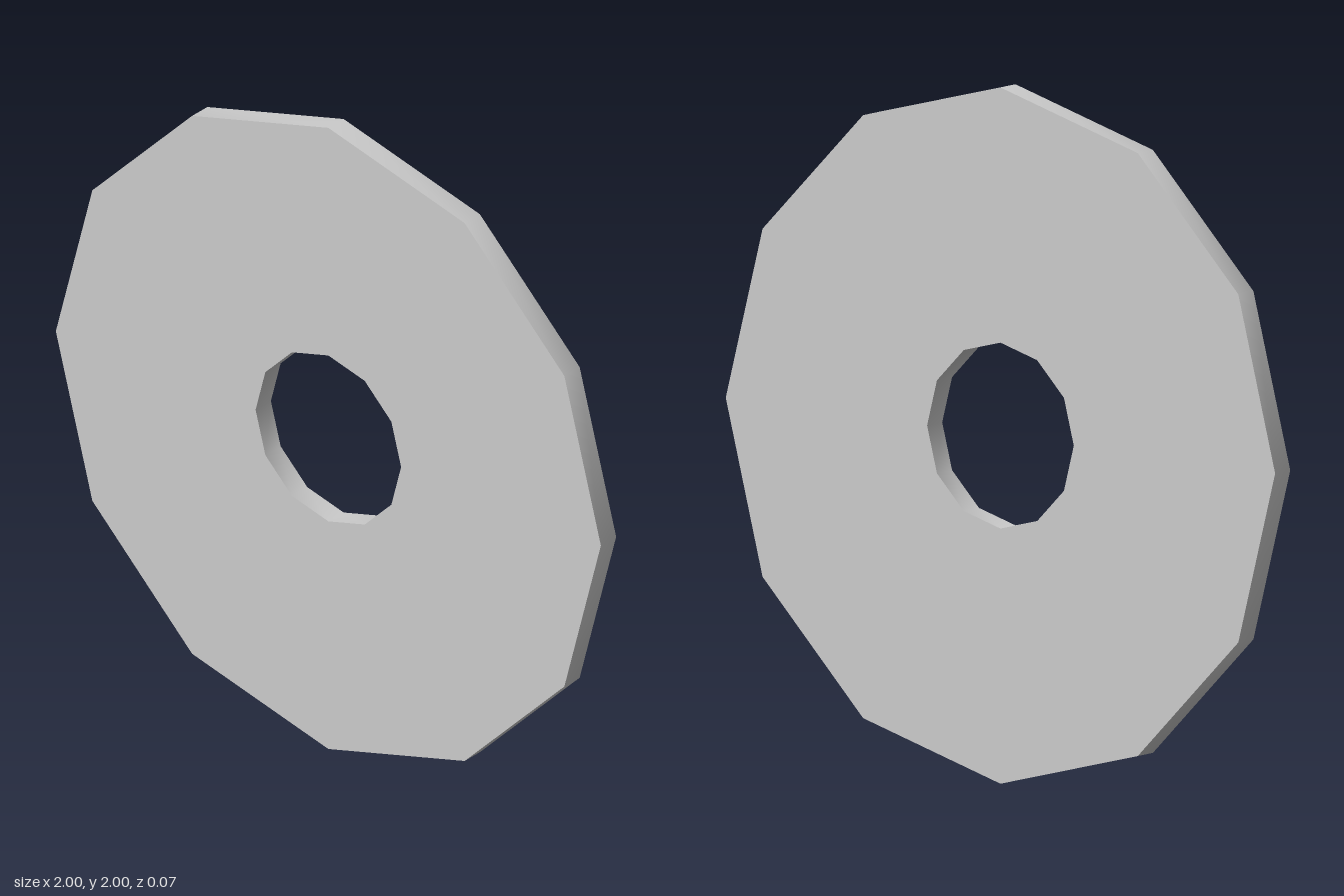
import * as THREE from 'three';
import { toCreasedNormals } from 'three/addons/utils/BufferGeometryUtils.js';

const SIDES = 12;
const OUTER_RADIUS = 1;
const HOLE_RADIUS = 0.267;
const THICKNESS = 0.068;

// Corner points of a regular polygon, the first one on +x
function polygon(radius) {
  return Array.from({ length: SIDES }, (_, i) => {
    const a = (i / SIDES) * Math.PI * 2;
    return new THREE.Vector2(radius * Math.cos(a), radius * Math.sin(a));
  });
}

export function createModel() {
  const group = new THREE.Group();
  group.name = 'washer';

  // Flat twelve-sided disc with a matching central hole
  const shape = new THREE.Shape(polygon(OUTER_RADIUS));
  shape.holes.push(new THREE.Path(polygon(HOLE_RADIUS)));
  const extruded = new THREE.ExtrudeGeometry(shape, { depth: THICKNESS, bevelEnabled: false });
  extruded.translate(0, 0, -THICKNESS / 2);

  // Smooth around the rim and bore, sharp where they meet the faces
  const geometry = toCreasedNormals(extruded, Math.PI / 4);
  const disc = new THREE.Mesh(geometry, new THREE.MeshStandardMaterial({ color: 0xcccccc }));
  disc.name = 'disc';
  disc.position.y = OUTER_RADIUS;
  group.add(disc);

  return group;
}
